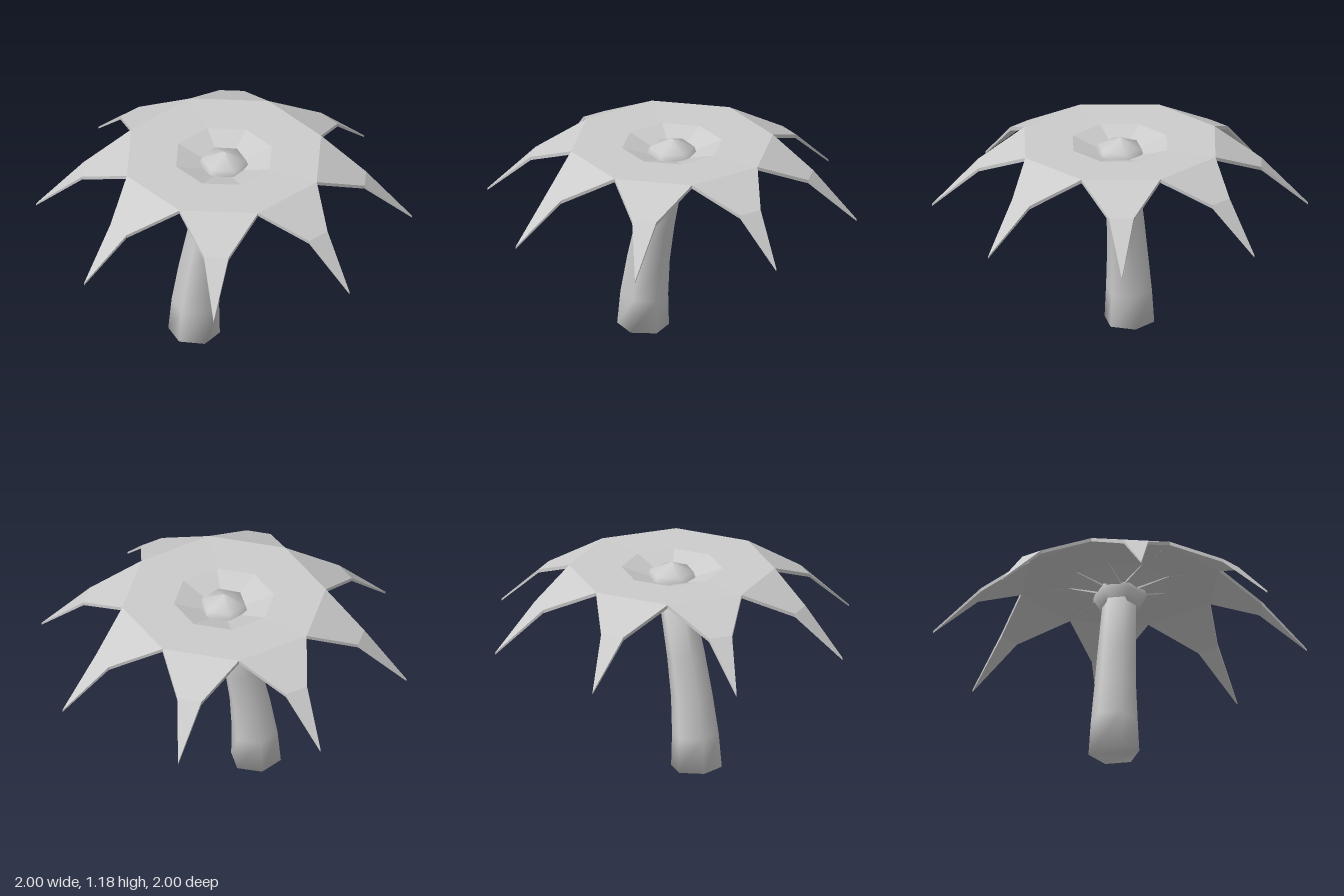
import * as THREE from 'three';

// Skin over cross-section rings of equal length, closed at both ends
function loft(rings) {
  const n = rings[0].length;
  const index = [];
  for (let i = 0; i < rings.length - 1; i++) {
    for (let k = 0; k < n; k++) {
      const a = i * n + k;
      const b = i * n + ((k + 1) % n);
      index.push(a, b, b + n, a, b + n, a + n);
    }
  }
  const end = (rings.length - 1) * n;
  for (let k = 1; k < n - 1; k++) {
    index.push(0, k + 1, k, end, end + k, end + k + 1);
  }
  const geometry = new THREE.BufferGeometry();
  geometry.setAttribute('position', new THREE.Float32BufferAttribute(rings.flat(2), 3));
  geometry.setIndex(index);
  geometry.computeVertexNormals();
  return geometry;
}

// Curved, tapering six-sided trunk: [centre x, y, radius, tilt]
function trunkGeometry() {
  const stations = [
    [-0.183, 0.007, 0.144, 0.05],
    [-0.175, 0.2, 0.133, 0.08],
    [-0.148, 0.42, 0.119, 0.16],
    [-0.105, 0.65, 0.109, 0.23],
    [-0.027, 0.98, 0.096, 0.27],
  ];
  return loft(stations.map(([x, y, r, tilt]) =>
    Array.from({ length: 6 }, (_, k) => {
      const a = (k * Math.PI) / 3;
      const side = r * Math.sin(a);
      return [x + side * Math.cos(tilt), y - side * Math.sin(tilt), r * Math.cos(a)];
    })));
}

// Thin folded frond along +x: [distance, top height, half width]
function frondGeometry() {
  const thickness = 0.02;
  const stations = [
    [0.06, 1.07, 0.075],
    [0.26, 1.145, 0.125],
    [0.528, 1.15, 0.219],
    [0.786, 1.025, 0.068],
    [1.045, 0.78, 0.001],
  ];
  const rings = stations.map(([d, y, w], i) => {
    const t = i === stations.length - 1 ? 0.012 : thickness;
    return [[d, y, -w], [d, y, w], [d, y - t, w], [d, y - t, -w]];
  });
  const geometry = loft(rings).toNonIndexed();
  geometry.computeVertexNormals();
  return geometry;
}

export function createModel() {
  const model = new THREE.Group();
  model.name = 'palmTree';
  const grey = new THREE.MeshStandardMaterial({ color: 0xcccccc });
  grey.name = 'lightGrey';

  const trunk = new THREE.Mesh(trunkGeometry(), grey);
  trunk.name = 'trunk';
  model.add(trunk);

  // Six-sided knob joining the trunk and the fronds
  const profile = [[0, 0.945], [0.105, 0.958], [0.152, 1.04], [0.125, 1.125], [0, 1.18]]
    .map(([r, y]) => new THREE.Vector2(r, y));
  const knob = new THREE.Mesh(new THREE.LatheGeometry(profile, 6), grey);
  knob.name = 'crownKnob';
  model.add(knob);

  // Eight fronds around the crown
  const fronds = new THREE.Group();
  fronds.name = 'fronds';
  const leaf = frondGeometry();
  for (let i = 0; i < 8; i++) {
    const frond = new THREE.Mesh(leaf, grey);
    frond.name = 'frond' + (i + 1);
    frond.rotation.y = 0.3 + (i * Math.PI) / 4;
    fronds.add(frond);
  }
  model.add(fronds);
  return model;
}
